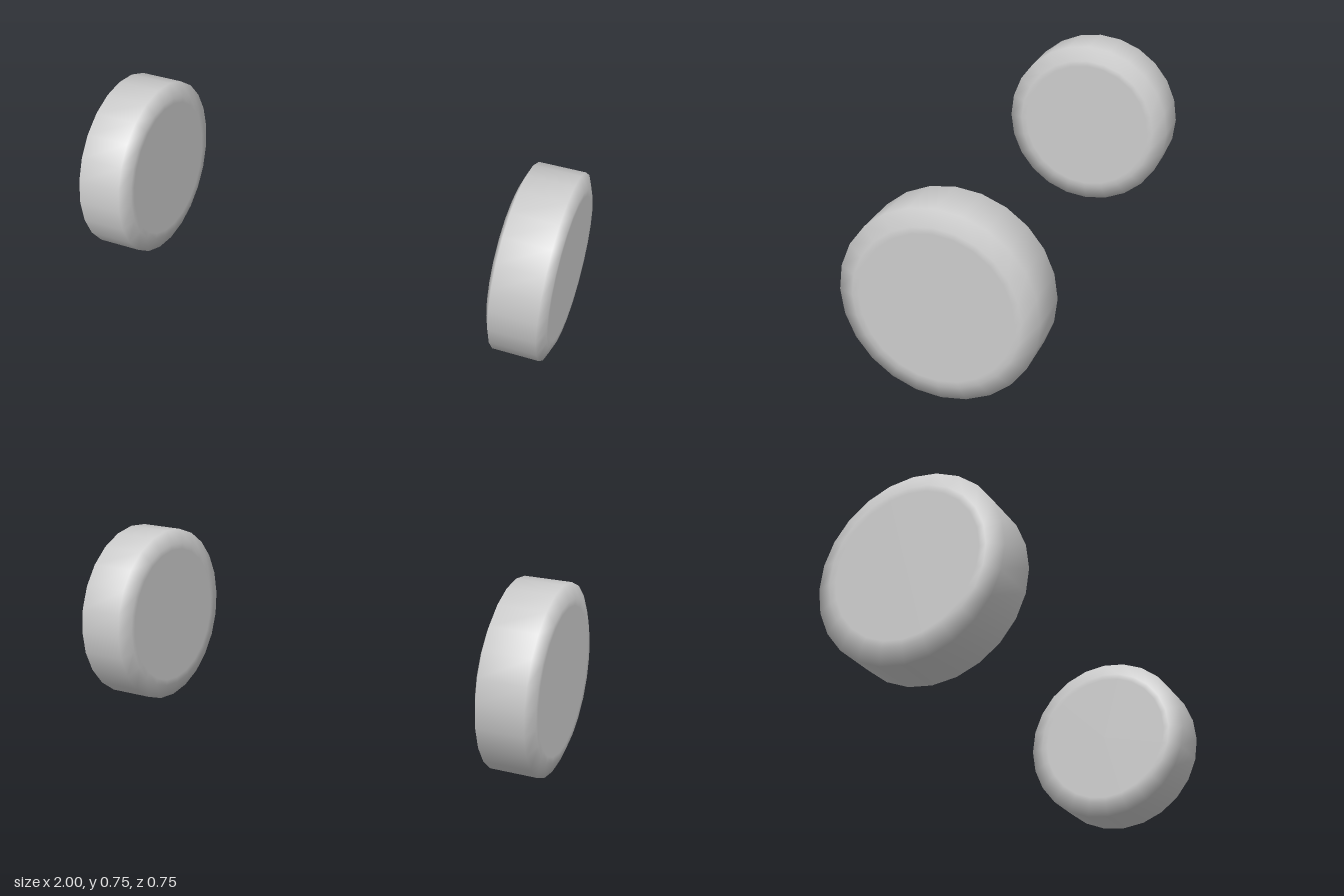
import * as THREE from 'three';
import { mergeVertices } from 'three/addons/utils/BufferGeometryUtils.js';

export function createModel() {
  const group = new THREE.Group();
  const grey = new THREE.MeshStandardMaterial({ color: 0xcccccc });
  grey.name = 'grey';

  const radius = 0.375, faceRadius = 0.315, half = 0.117, rimHalf = 0.093;

  // Chamfered disc profile, from one face centre round the rim to the other
  const profile = [
    [0, -half], [0.29, -half], [faceRadius, -half], [radius, -rimHalf],
    [radius, rimHalf], [faceRadius, half], [0.29, half], [0, half],
  ].map(([r, h]) => new THREE.Vector2(r, h));

  // Weld the seam so the shading runs smoothly over the chamfers
  let wheel = new THREE.LatheGeometry(profile, 24);
  wheel.deleteAttribute('uv');
  wheel.deleteAttribute('normal');
  wheel = mergeVertices(wheel, 1e-4);
  wheel.computeVertexNormals();
  wheel.rotateZ(Math.PI / 2);

  // One wheel on each side
  for (const [name, side] of [['leftWheel', 1], ['rightWheel', -1]]) {
    const mesh = new THREE.Mesh(wheel, grey);
    mesh.name = name;
    mesh.position.set(side * (1 - half), radius, 0);
    group.add(mesh);
  }
  return group;
}
